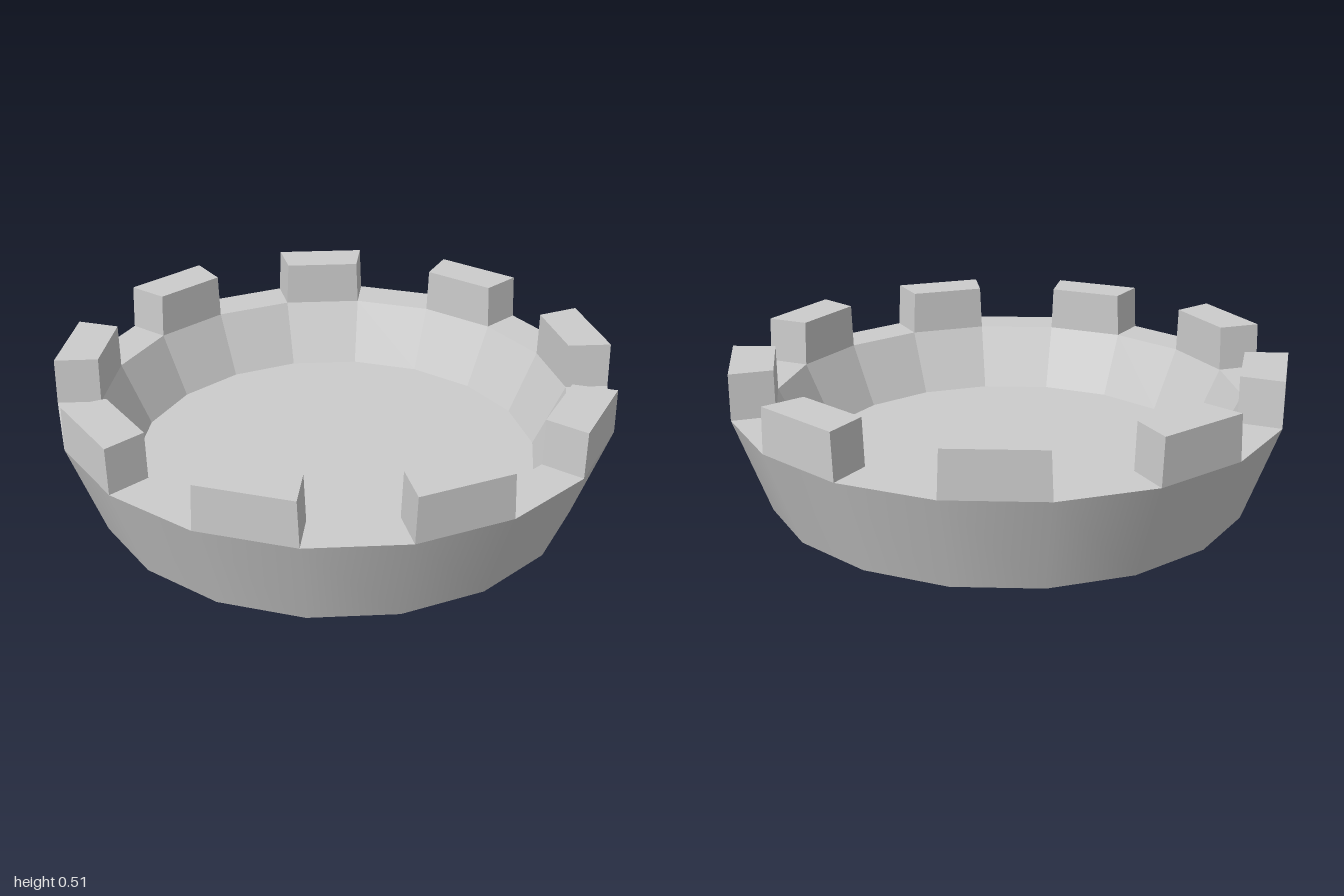
import * as THREE from 'three';

const SIDES = 18;
const R_BASE = 0.875, R_OUT = 1, R_IN = 0.845, R_FLOOR = 0.737;
const Y_FLOOR = 0.12, Y_RIM = 0.35, Y_TOP = 0.515;

const smooth = new THREE.MeshStandardMaterial({ color: 0xcccccc });
const faceted = new THREE.MeshStandardMaterial({ color: 0xcccccc, flatShading: true });

// Revolves a profile of [radius, height] pairs, with a corner on the x axis
function turned(name, profile, material) {
  const points = profile.map(([r, y]) => new THREE.Vector2(r, y));
  const mesh = new THREE.Mesh(new THREE.LatheGeometry(points, SIDES, Math.PI / 2), material);
  mesh.name = name;
  return mesh;
}

// One block filling a single side of the rim, its ends leaning in slightly
function merlonGeometry() {
  const geometry = new THREE.BoxGeometry(1, 1, 1);
  const p = geometry.attributes.position;
  const half = Math.PI / SIDES;
  for (let i = 0; i < p.count; i++) {
    const top = p.getY(i) > 0;
    const r = p.getZ(i) > 0 ? R_OUT : R_IN;
    const x = r * Math.sin(half) - (top ? 0.007 : 0);
    p.setXYZ(i, Math.sign(p.getX(i)) * x, top ? Y_TOP : Y_RIM, r * Math.cos(half));
  }
  geometry.computeVertexNormals();
  return geometry;
}

export function createModel() {
  const model = new THREE.Group();
  model.name = 'crenellatedBowl';

  // Bowl: smooth flared outside, flat underside, faceted rim and inside
  model.add(
    turned('outerWall', [[R_BASE, 0], [R_OUT, Y_RIM]], smooth),
    turned('underside', [[0, 0], [R_BASE, 0]], faceted),
    turned('rimAndInside', [[R_OUT, Y_RIM], [R_IN, Y_RIM], [R_FLOOR, Y_FLOOR], [0, Y_FLOOR]], faceted),
  );

  // Merlons on every other side, one centred on the front
  const geometry = merlonGeometry();
  for (let i = 0; i < SIDES / 2; i++) {
    const merlon = new THREE.Mesh(geometry, faceted);
    merlon.name = `merlon${i + 1}`;
    merlon.rotation.y = (i * 4 * Math.PI) / SIDES;
    model.add(merlon);
  }
  return model;
}
